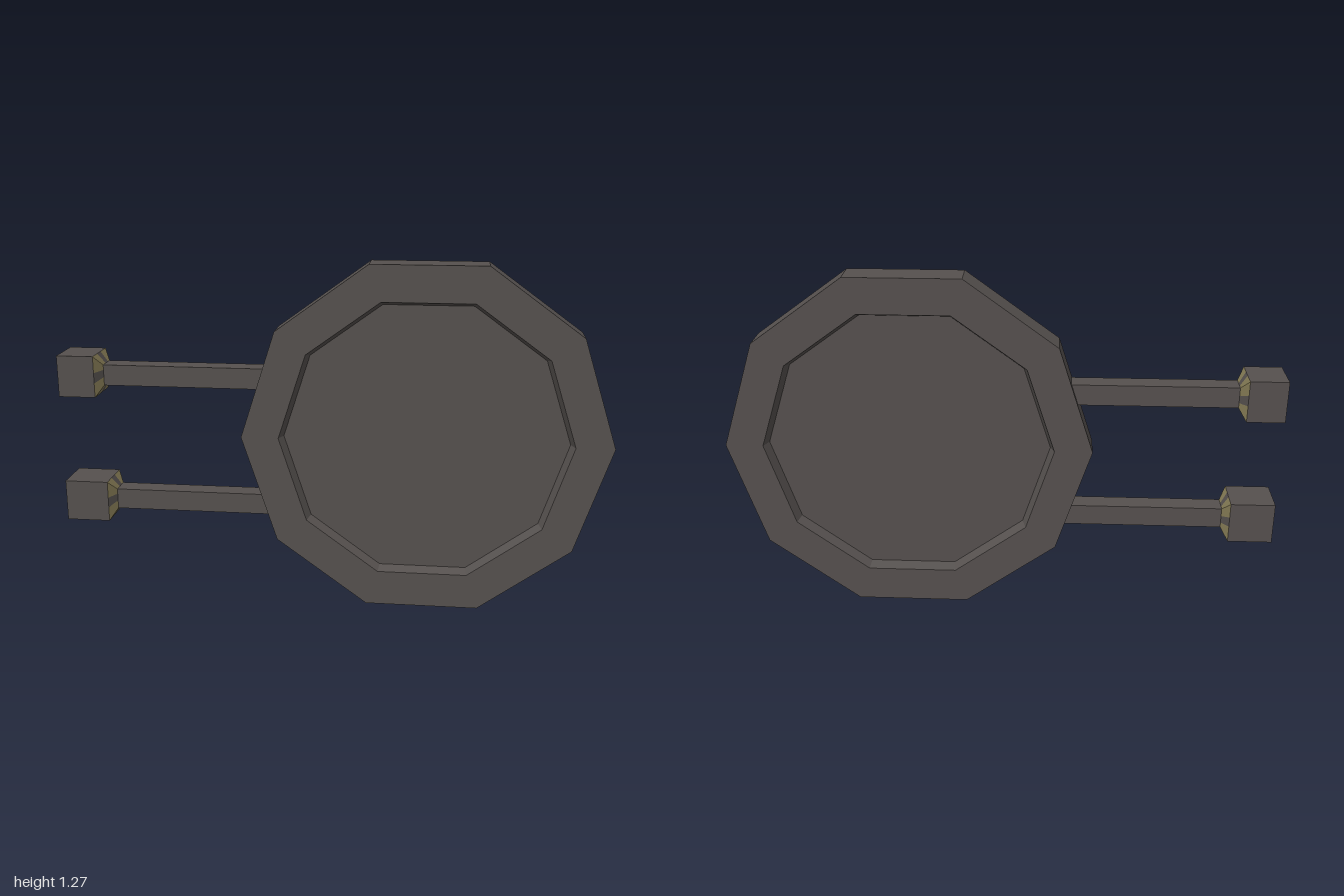
import * as THREE from 'three';

const iron = new THREE.MeshStandardMaterial({ color: 0x55504e, side: THREE.DoubleSide });
iron.name = 'dark iron';
const brass = new THREE.MeshStandardMaterial({ color: 0x857b55, side: THREE.DoubleSide });
brass.name = 'dull brass';

function faceted(geometry) {
  const flat = geometry.toNonIndexed();
  flat.computeVertexNormals();
  return flat;
}

// Four-sided open sleeve along x; each side is cut at the given [start, end] fractions,
// and the cuts alternate between material groups 0 and 1.
function sleeve(x0, half0, x1, half1, cuts) {
  const corners = [[1, -1], [1, 1], [-1, 1], [-1, -1]];
  const pos = [];
  const geometry = new THREE.BufferGeometry();
  for (let i = 0; i < 4; i++) {
    const a = corners[i], b = corners[(i + 1) % 4];
    const at = (x, half, t) => [x, half * (a[0] + (b[0] - a[0]) * t), half * (a[1] + (b[1] - a[1]) * t)];
    for (let k = 0; k + 1 < cuts.length; k++) {
      const p = at(x0, half0, cuts[k][0]), q = at(x0, half0, cuts[k + 1][0]);
      const r = at(x1, half1, cuts[k + 1][1]), s = at(x1, half1, cuts[k][1]);
      geometry.addGroup(pos.length / 3, 6, k % 2);
      pos.push(...p, ...q, ...r, ...p, ...r, ...s);
    }
  }
  geometry.setAttribute('position', new THREE.Float32BufferAttribute(pos, 3));
  geometry.computeVertexNormals();
  return geometry;
}

export function createModel() {
  const model = new THREE.Group();
  const add = (parent, name, geometry, material) => {
    const mesh = new THREE.Mesh(geometry, material);
    mesh.name = name;
    parent.add(mesh);
    return mesh;
  };

  // Ten-sided disc with a raised rim and a recessed panel on both faces
  const profile = [
    [0, -0.018], [0.515, -0.018], [0.53, -0.058], [0.667, -0.058],
    [0.667, 0.058], [0.53, 0.058], [0.515, 0.018], [0, 0.018],
  ].map(([r, h]) => new THREE.Vector2(r, h));
  const disc = new THREE.LatheGeometry(profile, 10, Math.PI / 2);
  disc.rotateX(Math.PI / 2);
  add(model, 'rimmedDisc', faceted(disc), iron).position.set(0.333, 0.636, 0);

  // Two arms, each ending in an open square socket with a brass collar
  for (const [name, y, neck] of [['upperArm', 0.85, -0.865], ['lowerArm', 0.373, -0.84]]) {
    const arm = new THREE.Group();
    arm.name = name;
    arm.position.y = y;
    const start = neck + 0.01, end = -0.2;
    const rod = new THREE.BoxGeometry(end - start, 0.076, 0.076);
    add(arm, 'rod', rod, iron).position.x = (start + end) / 2;
    add(arm, 'socket', sleeve(-1, 0.076, neck, 0.076, [[0, 0], [1, 1]]), [iron]);
    const cuts = [[0, 0], [0.4, 0.25], [0.65, 0.6], [1, 1]];
    add(arm, 'collar', sleeve(neck, 0.076, neck + 0.025, 0.038, cuts), [brass, iron]);
    model.add(arm);
  }
  return model;
}
